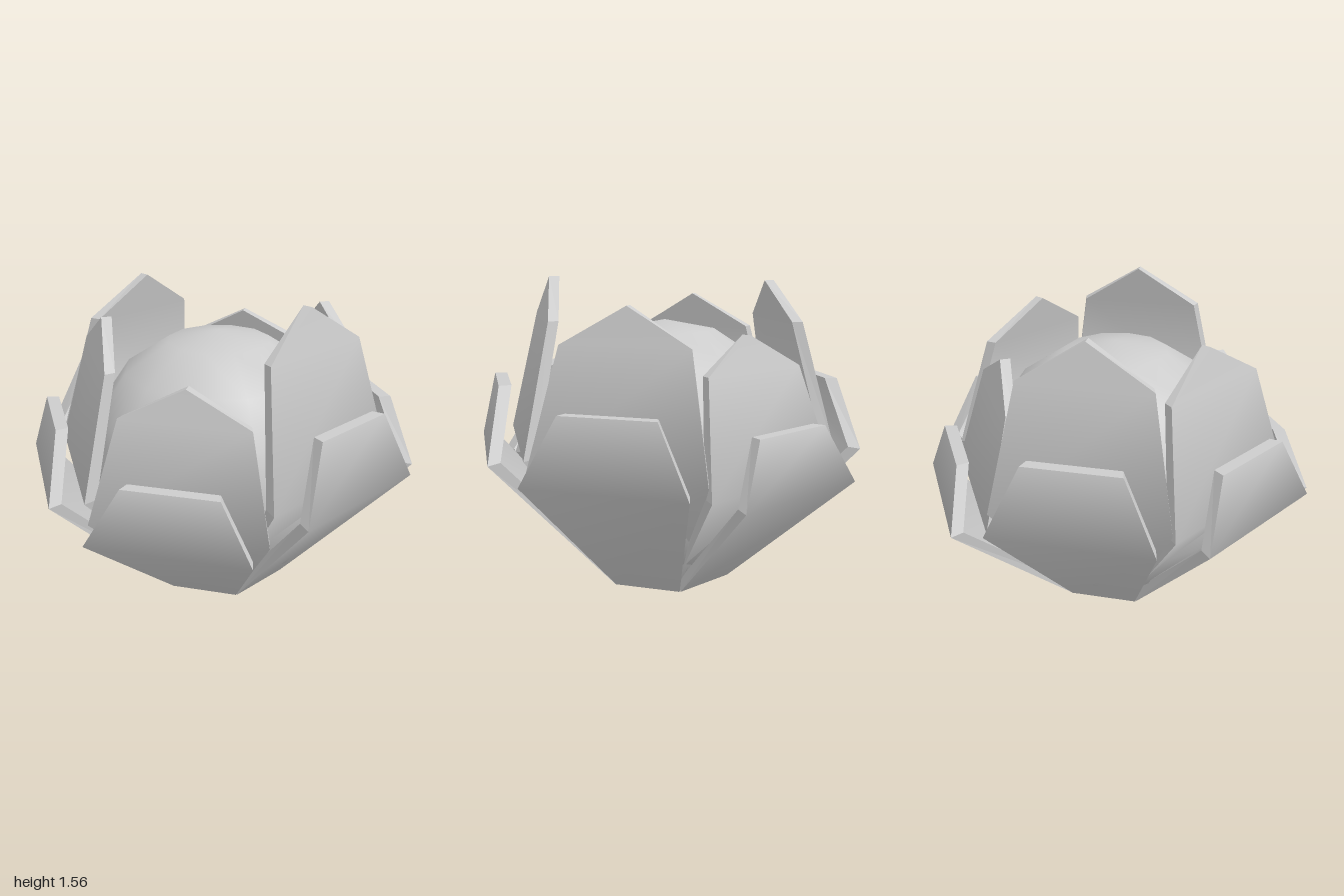
import * as THREE from 'three';
import { mergeGeometries } from 'three/addons/utils/BufferGeometryUtils.js';

// Each row is [distance from the axis, height, half width]
const OUTER_ROWS = [[0.3, 0, 0.17], [0.92, 0.66, 0.39], [0.85, 0.98, 0.23]];
const INNER_ROWS = [[0.27, 0.03, 0.18], [0.76, 0.68, 0.43], [0.62, 1.26, 0.315], [0.58, 1.44, 0]];
// How far the back of each row is set in, as [radial, vertical]
const OUTER_INSET = [[0.04, 0.04], [0.06, 0.01], [0.06, 0]];
const INNER_INSET = [[0.04, 0.04], [0.06, 0.01], [0.05, 0], [0.05, 0]];

// Direction of each petal pair and its height stretch
const PETALS = [[0, 1], [60, 0.9], [120, 1.06], [180, 1], [240, 0.85], [300, 1.08]];

function buildGeometry(points, indices, flat) {
  let g = new THREE.BufferGeometry();
  g.setAttribute('position', new THREE.Float32BufferAttribute(points.flat(), 3));
  g.setIndex(indices);
  g = flat ? g.toNonIndexed() : g;
  g.computeVertexNormals();
  return flat ? g : g.toNonIndexed();
}

// A bent plate facing +x: smooth front and back with a hard rim
function petalGeometry(rows, inset) {
  const n = rows.length;
  const front = [], back = [], frontFaces = [], backFaces = [];
  rows.forEach(([r, y, w], i) => {
    const [dr, dy] = inset[i];
    const bw = Math.max(w - 0.015, 0);
    front.push([r, y, w], [r, y, -w]);
    back.push([r - dr, y + dy, bw], [r - dr, y + dy, -bw]);
    if (i === 0) return;
    const a = 2 * i - 2, b = a + 1, c = a + 2, d = a + 3;
    frontFaces.push(a, b, d, a, d, c);
    backFaces.push(a, d, b, a, c, d);
  });

  // Walk round the outline to close the rim
  const loop = [];
  for (let i = 0; i < n; i++) loop.push(2 * i + 1);
  for (let i = n - 1; i >= 0; i--) loop.push(2 * i);
  const rimFaces = [];
  loop.forEach((p, i) => {
    const q = loop[(i + 1) % loop.length], o = 2 * n;
    rimFaces.push(p, p + o, q, q, p + o, q + o);
  });

  return mergeGeometries([
    buildGeometry(front, frontFaces, false),
    buildGeometry(back, backFaces, false),
    buildGeometry([...front, ...back], rimFaces, true),
  ]);
}

export function createModel() {
  const group = new THREE.Group();
  group.name = 'lotusFlower';
  const grey = new THREE.MeshStandardMaterial({ color: 0xcccccc });
  grey.name = 'lightGrey';

  // Round heart
  const heart = new THREE.Mesh(new THREE.SphereGeometry(0.68, 12, 8), grey);
  heart.name = 'heart';
  heart.position.y = 0.67;
  heart.scale.y = 0.98;
  group.add(heart);

  // Two rings of petals
  const outer = petalGeometry(OUTER_ROWS, OUTER_INSET);
  const inner = petalGeometry(INNER_ROWS, INNER_INSET);
  for (const [angle, stretch] of PETALS) {
    for (const [name, geometry] of [['outerPetal', outer], ['innerPetal', inner]]) {
      const petal = new THREE.Mesh(geometry, grey);
      petal.name = name;
      petal.rotation.y = THREE.MathUtils.degToRad(angle);
      petal.scale.y = stretch;
      group.add(petal);
    }
  }
  return group;
}
